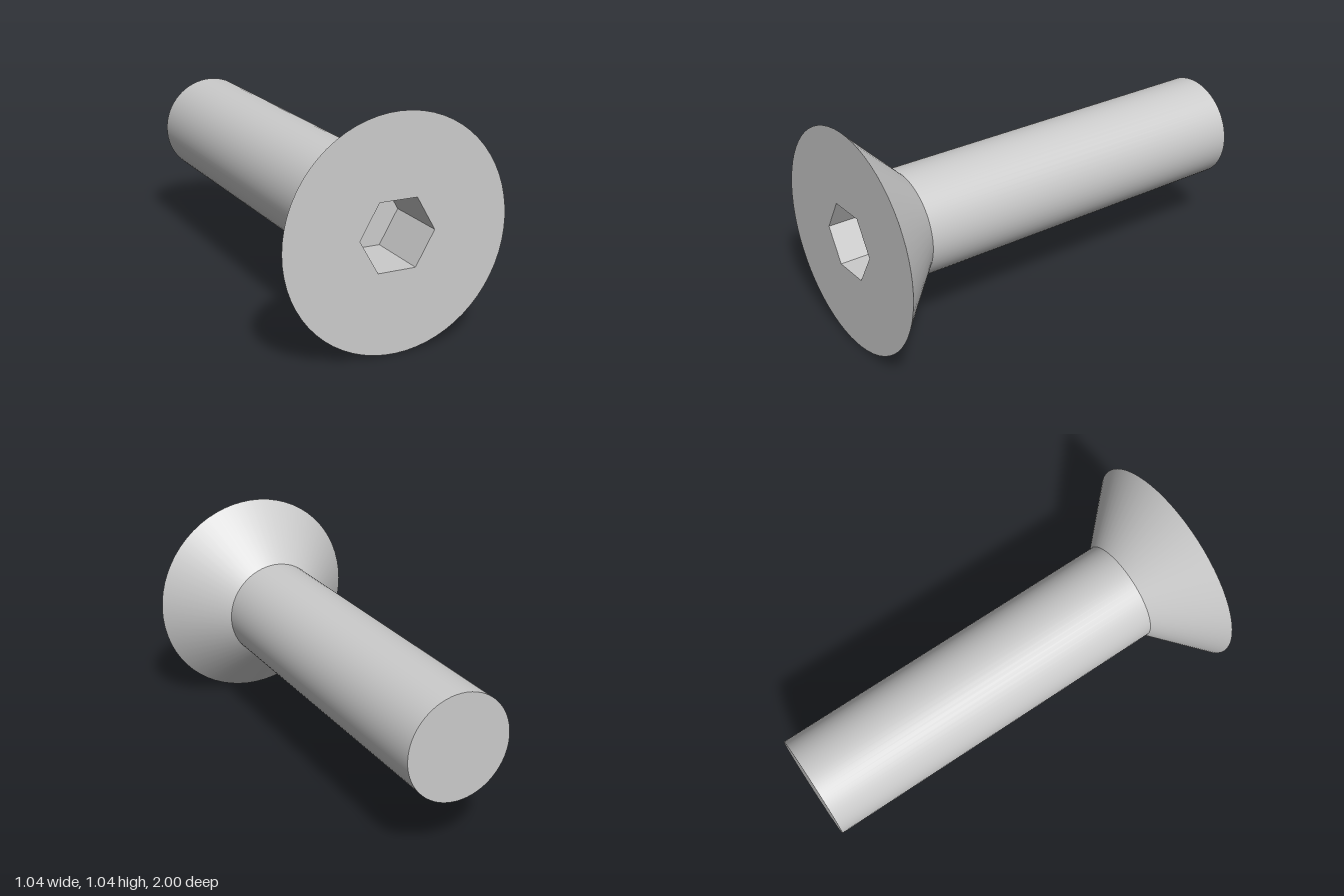
import * as THREE from 'three';

const SEGMENTS = 64;
const HEAD_RADIUS = 0.518, SHAFT_RADIUS = 0.248, SOCKET_RADIUS = 0.174;
const FRONT = 1, NECK = 0.73, TAIL = -1, SOCKET_FLOOR = 0.7;

export function createModel() {
  const screw = new THREE.Group();
  screw.name = 'countersunkScrew';

  const material = new THREE.MeshStandardMaterial({ color: 0xcccccc });
  const socketMaterial = new THREE.MeshStandardMaterial({
    color: 0xcccccc, flatShading: true, side: THREE.DoubleSide,
  });

  function add(name, geometry, z, mat = material) {
    const mesh = new THREE.Mesh(geometry, mat);
    mesh.name = name;
    mesh.position.set(0, HEAD_RADIUS, z);
    screw.add(mesh);
  }

  // Open tube along z, from zBack to zFront
  function addTube(name, rFront, rBack, zFront, zBack, sides, mat) {
    const geometry = new THREE.CylinderGeometry(
      rFront, rBack, zFront - zBack, sides, 1, true, Math.PI / 2);
    add(name, geometry.rotateX(Math.PI / 2), (zFront + zBack) / 2, mat);
  }

  // Shaft and its flat end
  addTube('shaft', SHAFT_RADIUS, SHAFT_RADIUS, NECK, TAIL, SEGMENTS);
  add('shaftEnd', new THREE.CircleGeometry(SHAFT_RADIUS, SEGMENTS).rotateY(Math.PI), TAIL);

  // Conical underside of the head
  addTube('headCone', HEAD_RADIUS, SHAFT_RADIUS, FRONT, NECK, SEGMENTS);

  // Flat head face with a hexagonal opening
  const face = new THREE.Shape().absarc(0, 0, HEAD_RADIUS, 0, Math.PI * 2);
  const corners = [];
  for (let i = 0; i < 6; i++) {
    const a = (i * Math.PI) / 3;
    corners.push(new THREE.Vector2(Math.cos(a) * SOCKET_RADIUS, Math.sin(a) * SOCKET_RADIUS));
  }
  face.holes.push(new THREE.Path(corners));
  add('headFace', new THREE.ShapeGeometry(face, SEGMENTS / 2), FRONT);

  // Hexagonal socket walls and floor
  addTube('socketWalls', SOCKET_RADIUS, SOCKET_RADIUS, FRONT, SOCKET_FLOOR, 6, socketMaterial);
  add('socketFloor', new THREE.CircleGeometry(SOCKET_RADIUS, 6), SOCKET_FLOOR);

  return screw;
}
